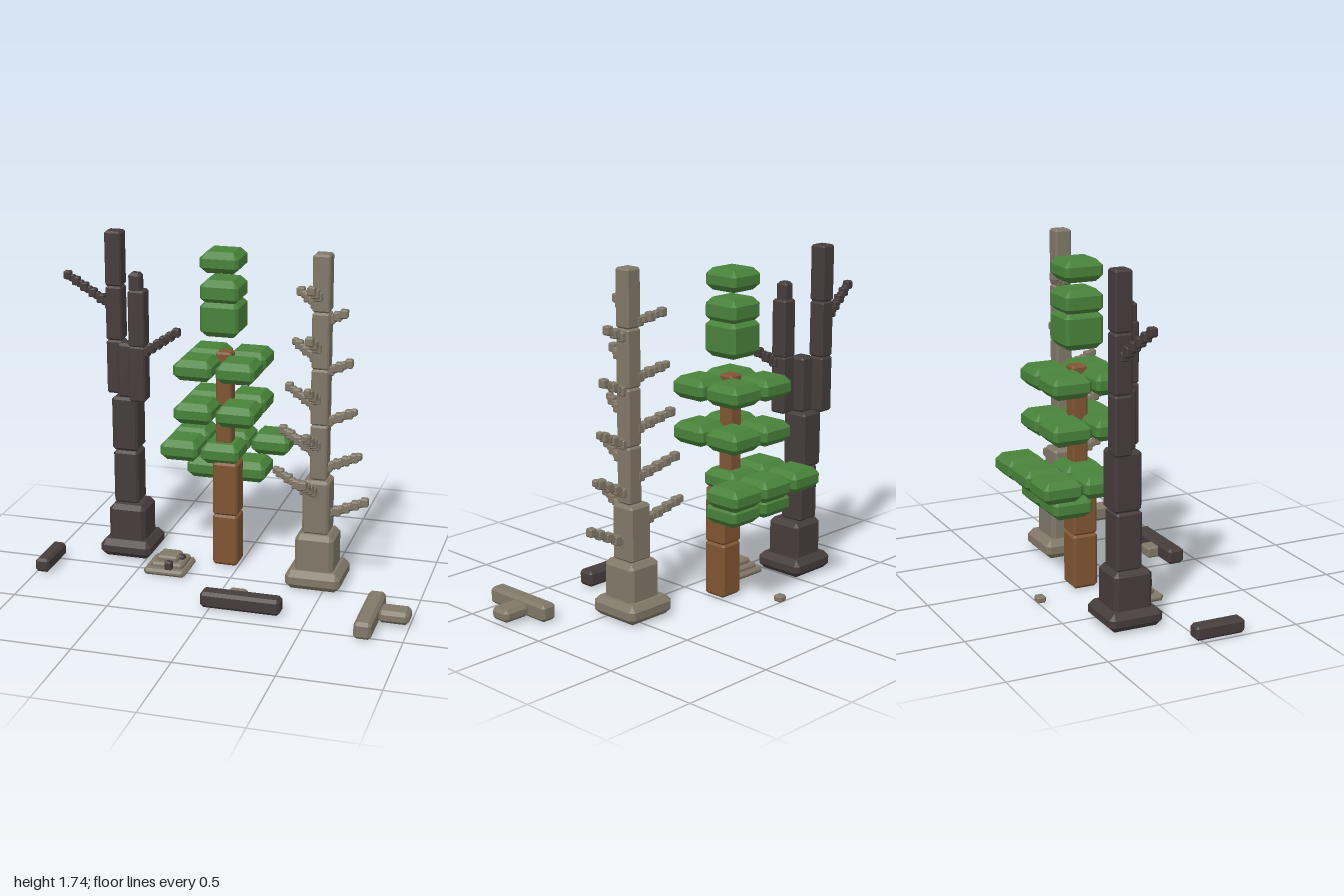
import * as THREE from 'three';
import { ConvexGeometry } from 'three/addons/geometries/ConvexGeometry.js';

const mat = (name, color) => Object.assign(new THREE.MeshStandardMaterial({ color }), { name });

// Box with chamfers: a cuts the upright edges, b the level edges
function chamferBox(w, h, d, a, b) {
  const pts = [];
  for (const sx of [-1, 1]) for (const sy of [-1, 1]) for (const sz of [-1, 1]) {
    const add = (x, y, z) => pts.push(new THREE.Vector3(sx * x, sy * y, sz * z));
    add(w / 2, h / 2 - b, d / 2 - a);
    add(w / 2 - a, h / 2 - b, d / 2);
    add(w / 2 - b, h / 2, d / 2 - b);
  }
  return new ConvexGeometry(pts);
}

// Block given by its extents [min, max] on each axis
function block(parent, name, material, [x0, x1], [y0, y1], [z0, z1], a = 0.012, b = 0.014) {
  const mesh = new THREE.Mesh(chamferBox(x1 - x0, y1 - y0, z1 - z0, a, b), material);
  mesh.position.set((x0 + x1) / 2, (y0 + y1) / 2, (z0 + z1) / 2);
  mesh.name = name;
  parent.add(mesh);
  return mesh;
}

// Upright square block around a centre
function post(parent, name, material, x, z, w, y0, y1, a, b) {
  return block(parent, name, material, [x - w / 2, x + w / 2], [y0, y1], [z - w / 2, z + w / 2], a, b);
}

// Knobbly branch: a chain of small blocks between two points
function branch(parent, material, from, to) {
  const a = new THREE.Vector3(...from), b = new THREE.Vector3(...to);
  const group = new THREE.Group();
  group.name = 'branch';
  const n = Math.max(4, Math.round(a.distanceTo(b) / 0.027));
  for (let i = 0; i <= n; i++) {
    const s = (i % 2 ? 0.036 : 0.044) - 0.004 * i / n;
    const knot = new THREE.Mesh(chamferBox(s, s * 1.1, s, 0.005, 0.006), material);
    knot.position.lerpVectors(a, b, i / n);
    knot.name = 'branchKnot';
    group.add(knot);
  }
  parent.add(group);
}

function sub(root, name) {
  const g = new THREE.Group();
  g.name = name;
  root.add(g);
  return g;
}

export function createModel() {
  const root = new THREE.Group();
  root.name = 'forestSet';
  const dark = mat('charredWood', 0x463c3c);
  const grey = mat('greyWood', 0x807868);
  const brown = mat('brownBark', 0x7f5532);
  const green = mat('leafGreen', 0x48823a);

  // Forked dark dead tree
  const burnt = sub(root, 'darkTree');
  post(burnt, 'rootFlare', dark, -0.61, -0.22, 0.28, 0.005, 0.1, 0.022, 0.03);
  post(burnt, 'trunkFoot', dark, -0.61, -0.22, 0.2, 0.06, 0.29, 0.02, 0.025);
  post(burnt, 'lowerTrunk', dark, -0.625, -0.235, 0.135, 0.285, 0.58);
  post(burnt, 'middleTrunk', dark, -0.63, -0.245, 0.14, 0.58, 0.875);
  post(burnt, 'forkCore', dark, -0.625, -0.235, 0.09, 0.87, 1.165);
  for (const y of [0.87, 1.16, 1.45])
    post(burnt, 'tallFork', dark, -0.705, -0.295, 0.088, y, y + 0.29, 0.008, 0.01);
  for (const y of [0.87, 1.165])
    post(burnt, 'shortFork', dark, -0.543, -0.18, 0.088, y, y + 0.3, 0.008, 0.01);
  post(burnt, 'shortForkTip', dark, -0.552, -0.176, 0.065, 1.45, 1.555, 0.01, 0.015);
  branch(burnt, dark, [-0.74, 1.345, -0.295], [-0.955, 1.495, -0.262]);
  branch(burnt, dark, [-0.5, 1.14, -0.16], [-0.3, 1.285, -0.06]);

  // Green tree trunk
  const pine = sub(root, 'greenTree');
  block(pine, 'lowerTrunk', brown, [-0.137, -0.003], [0.005, 0.29], [-0.268, -0.137]);
  block(pine, 'lowerTrunk', brown, [-0.137, -0.003], [0.285, 0.58], [-0.268, -0.137]);
  for (const y of [0.58, 0.87])
    block(pine, 'upperTrunk', brown, [-0.133, -0.05], [y, y + 0.29], [-0.268, -0.187], 0.008, 0.01);

  // Leaf clumps
  const leaf = (x, z, y0, y1) => post(pine, 'leafClump', green, x, z, 0.203, y0, y1, 0.017, 0.032);
  for (const x of [-0.21, 0.013]) {
    leaf(x, -0.345, 0.44, 0.55);
    for (const z of [-0.345, -0.12]) {
      leaf(x, z, 0.81, 0.92);
      leaf(x, z, 1.04, 1.15);
    }
  }
  for (const [x, z] of [[-0.32, -0.445], [-0.1, -0.445], [0.115, -0.445], [-0.32, -0.23], [-0.1, -0.23]])
    leaf(x, z, 0.565, 0.675);
  leaf(-0.1, -0.23, 1.25, 1.44);
  leaf(-0.1, -0.23, 1.42, 1.545);
  leaf(-0.1, -0.23, 1.58, 1.69);

  // Grey dead tree
  const dead = sub(root, 'greyTree');
  post(dead, 'rootFlare', grey, 0.447, -0.075, 0.287, 0.005, 0.105, 0.022, 0.03);
  post(dead, 'trunkFoot', grey, 0.447, -0.07, 0.2, 0.06, 0.295, 0.02, 0.025);
  post(dead, 'lowerTrunk', grey, 0.445, -0.07, 0.137, 0.29, 0.58);
  for (const y of [0.58, 0.87, 1.16, 1.45])
    post(dead, 'upperTrunk', grey, 0.452, -0.065, 0.088, y, y + 0.29, 0.008, 0.01);

  // Branch whorls, shrinking upward: [left base, left tip, right base, right tip, front base, front tip]
  const whorls = [
    [[0.7, 0.48], [0.2, 0.565], [0.19, 0.62]],
    [[0.665, 0.72], [0.235, 0.79], [0.155, 0.855]],
    [[0.635, 0.95], [0.265, 1.02], [0.12, 1.08]],
    [[0.605, 1.2], [0.295, 1.26], [0.09, 1.33]],
    [[0.575, 1.45], [0.32, 1.52], [0.06, 1.575]],
  ];
  for (const [l, r, f] of whorls) {
    const rise = 0.45;
    branch(dead, grey, [0.495, l[1] - (l[0] - 0.495) * rise, -0.07], [l[0] - 0.01, l[1], -0.045]);
    branch(dead, grey, [0.41, r[1] - (0.41 - r[0]) * rise, -0.09], [r[0], r[1], -0.16]);
    branch(dead, grey, [0.44, f[1] - (f[0] + 0.02) * 0.5, -0.02], [0.42, f[1], f[0] - 0.02]);
  }

  // Fallen logs
  const logs = sub(root, 'fallenLogs');
  block(logs, 'smallLog', dark, [-1, -0.925], [0.008, 0.082], [-0.04, 0.22]);
  block(logs, 'darkLog', dark, [-0.045, 0.365], [0.008, 0.092], [0.32, 0.41], 0.014, 0.016);
  block(logs, 'darkLogStub', grey, [0.077, 0.168], [0.015, 0.075], [0.26, 0.34], 0.008, 0.01);
  block(logs, 'greyLog', grey, [0.763, 0.85], [0.005, 0.093], [0.137, 0.542], 0.014, 0.016);
  block(logs, 'greyLogStub', grey, [0.845, 1], [0.015, 0.08], [0.24, 0.355], 0.02, 0.018);

  // Stepped debris pile and stray pebble
  const pile = sub(root, 'debrisPile');
  block(pile, 'pileBase', grey, [-0.455, -0.228], [0, 0.034], [-0.145, 0.078], 0.02, 0.012);
  block(pile, 'pileMiddle', grey, [-0.425, -0.25], [0.025, 0.058], [-0.125, 0.04], 0.014, 0.01);
  block(pile, 'pileTop', grey, [-0.4, -0.285], [0.05, 0.085], [-0.1, 0.01], 0.012, 0.01);
  block(pile, 'charredChip', dark, [-0.34, -0.3], [0.03, 0.08], [0.032, 0.07], 0.008, 0.008);
  block(pile, 'charredChip', dark, [-0.3, -0.262], [0.045, 0.08], [-0.07, -0.03], 0.008, 0.008);
  block(root, 'pebble', grey, [-0.222, -0.17], [0, 0.033], [-0.507, -0.457], 0.01, 0.008);

  return root;
}
